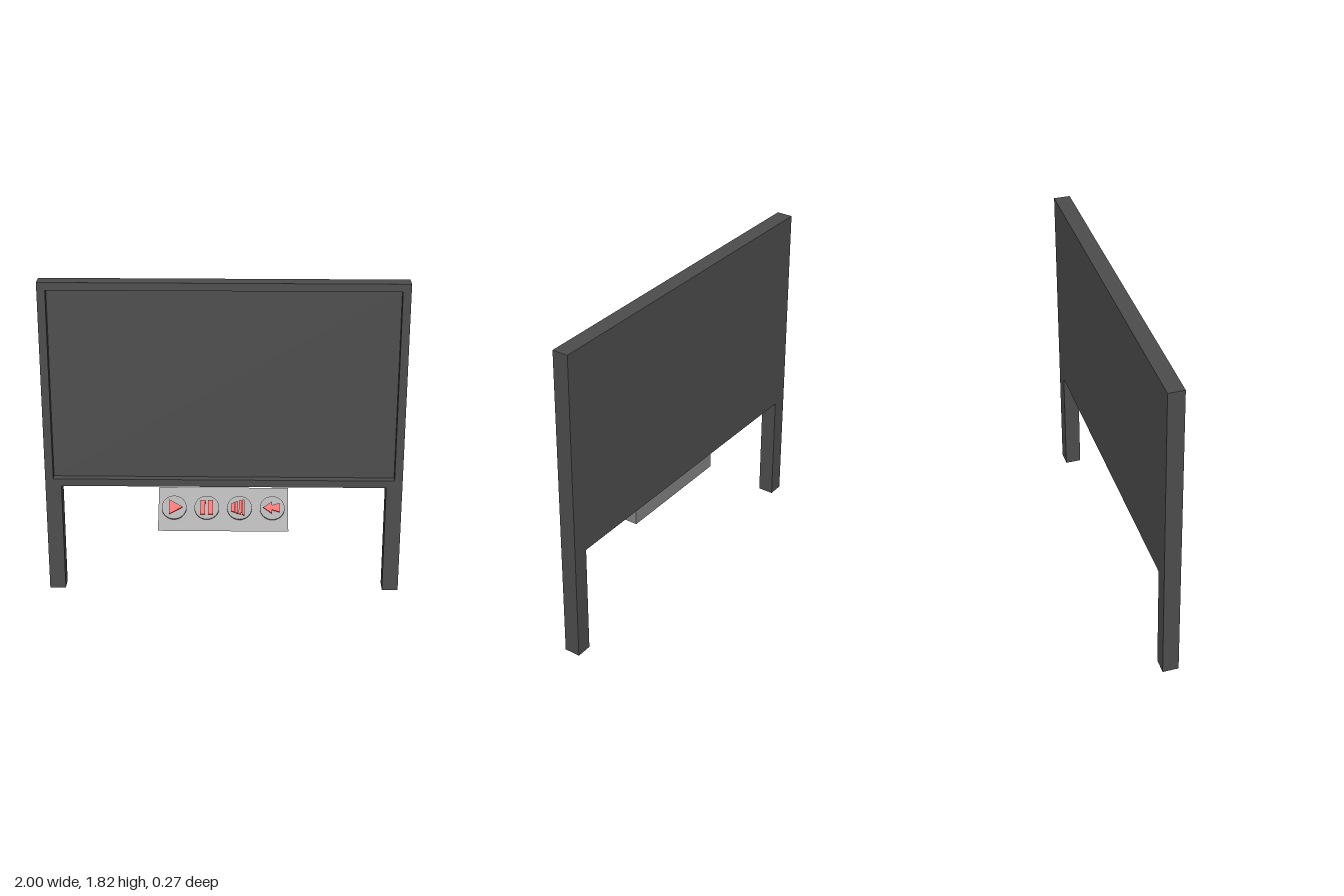
import * as THREE from 'three';

const mat = (name, color) => Object.assign(new THREE.MeshStandardMaterial({ color }), { name });

function polygon(points) {
  return new THREE.Shape(points.map(([x, y]) => new THREE.Vector2(x, y)));
}

function add(parent, name, geometry, material) {
  const mesh = new THREE.Mesh(geometry, material);
  mesh.name = name;
  parent.add(mesh);
  return mesh;
}

const extrude = (shape, depth) => new THREE.ExtrudeGeometry(shape, { depth, bevelEnabled: false });

export function createModel() {
  const model = new THREE.Group();
  model.name = 'screenStand';
  const dark = mat('darkGrey', 0x4d4d4d);
  const grey = mat('midGrey', 0x848484);
  const red = mat('red', 0xe80c0c);

  // Frame with two legs and a rectangular opening
  const outline = polygon([
    [-1, 0], [-0.91, 0], [-0.91, 0.64], [0.91, 0.64],
    [0.91, 0], [1, 0], [1, 1.82], [-1, 1.82],
  ]);
  outline.holes.push(polygon([[-0.955, 0.682], [-0.955, 1.777], [0.955, 1.777], [0.955, 0.682]]));
  add(model, 'frame', extrude(outline, 0.09), dark).position.z = -0.136;

  // Recessed screen, flush with the back of the frame
  add(model, 'screen', new THREE.BoxGeometry(1.91, 1.095, 0.045), dark)
    .position.set(0, 1.2295, -0.1135);

  // Wedge console: profile drawn in (z, y), extruded along x
  const wedge = extrude(polygon([[-0.046, 0.452], [0.136, 0.452], [-0.046, 0.636]]), 0.722);
  wedge.rotateY(-Math.PI / 2).scale(1, 1, 1);
  add(model, 'console', wedge, grey).position.x = 0.361;

  // Icons in button coordinates, each a list of polygons
  const bar = (x0, x1, h0, h1) => [[x0, -h0], [x1, -h1], [x1, h1], [x0, h0]];
  const arrow = (tip, base, h) => [[tip, 0], [base, -h], [base, h]];
  const icons = {
    play: [arrow(0.048, -0.028, 0.043)],
    pause: [bar(-0.036, -0.009, 0.042, 0.042), bar(0.007, 0.034, 0.042, 0.042)],
    fan: [
      bar(-0.046, -0.026, 0.022, 0.03), bar(-0.022, -0.008, 0.032, 0.037),
      bar(-0.004, 0.01, 0.038, 0.043), bar(0.014, 0.028, 0.043, 0.047),
    ],
    rewind: [arrow(-0.05, 0, 0.036), bar(0, 0.04, 0.014, 0.026)],
  };

  // Round buttons on the sloping face
  Object.entries(icons).forEach(([name, shapes], i) => {
    const button = new THREE.Group();
    button.name = name + 'Button';
    button.position.set(-0.274 + i * 0.182, 0.549, 0.041);
    button.rotation.x = -Math.PI / 4;
    const disc = new THREE.CylinderGeometry(0.069, 0.069, 0.012, 32).rotateX(Math.PI / 2);
    add(button, 'buttonDisc', disc, grey).position.z = 0.004;
    shapes.forEach((points) => {
      add(button, name + 'Icon', extrude(polygon(points), 0.009), red).position.z = 0.0095;
    });
    model.add(button);
  });

  return model;
}
